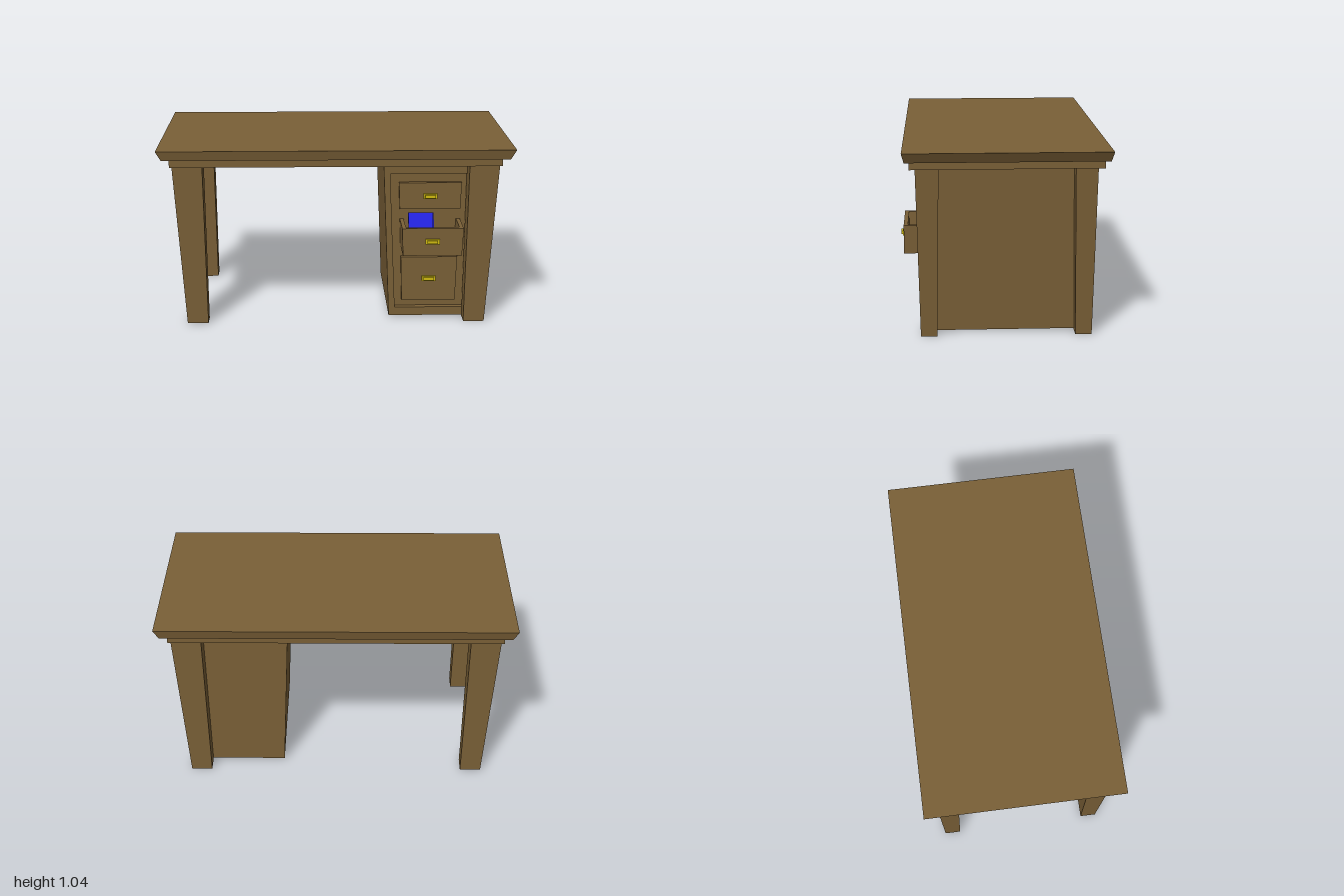
import * as THREE from 'three';

// Box whose bottom and top rectangles [x0, x1, z0, z1] differ
function taperedBox(y0, y1, bottom, top = bottom) {
  const geo = new THREE.BoxGeometry(1, 1, 1);
  const p = geo.attributes.position;
  for (let i = 0; i < p.count; i++) {
    const r = p.getY(i) > 0 ? top : bottom;
    p.setXYZ(i, p.getX(i) > 0 ? r[1] : r[0], p.getY(i) > 0 ? y1 : y0, p.getZ(i) > 0 ? r[3] : r[2]);
  }
  geo.computeVertexNormals();
  return geo;
}

// Extruded outline with one hole, both given as point lists
function frame(outer, inner, depth) {
  const toPoints = (list) => list.map(([x, y]) => new THREE.Vector2(x, y));
  const shape = new THREE.Shape(toPoints(outer));
  shape.holes.push(new THREE.Path(toPoints(inner)));
  return new THREE.ExtrudeGeometry(shape, { depth, bevelEnabled: false });
}

const rect = (x0, x1, y0, y1) => [[x0, y0], [x1, y0], [x1, y1], [x0, y1]];

export function createModel() {
  const wood = new THREE.MeshStandardMaterial({ color: 0x7a6037 });
  wood.name = 'wood';
  const brass = new THREE.MeshStandardMaterial({ color: 0xd2bc10 });
  brass.name = 'brass';
  const blue = new THREE.MeshStandardMaterial({ color: 0x2424e2 });
  blue.name = 'blueCover';

  const desk = new THREE.Group();
  desk.name = 'desk';
  const add = (name, geo, mat = wood, parent = desk) => {
    const mesh = new THREE.Mesh(geo, mat);
    mesh.name = name;
    parent.add(mesh);
    return mesh;
  };

  // Top slab flaring outwards, on a hollow apron
  add('tabletop', taperedBox(0.985, 1.04, [-0.97, 0.97, -0.55, 0.535], [-1, 1, -0.563, 0.548]));
  const apron = frame(rect(-0.93, 0.93, -0.51, 0.525), rect(-0.89, 0.89, -0.47, 0.485), 0.045);
  apron.rotateX(-Math.PI / 2);
  add('apron', apron).position.y = 0.94;

  // Four legs narrowing towards the floor
  for (const side of [-1, 1]) {
    const span = (a, b) => (side > 0 ? [a, b] : [-b, -a]);
    add('frontLeg', taperedBox(0, 0.945, [...span(0.74, 0.86), 0.37, 0.46], [...span(0.75, 0.92), 0.355, 0.48]));
    add('backLeg', taperedBox(0, 0.945, [...span(0.74, 0.86), -0.475, -0.385], [...span(0.75, 0.92), -0.49, -0.37]));
  }

  // Drawer cabinet with a raised rim around its front
  add('cabinetBody', taperedBox(0.01, 0.985, [0.31, 0.785, -0.385, 0.345], [0.27, 0.83, -0.385, 0.345]));
  add('cabinetFrontRim', frame(
    [[0.31, 0.01], [0.785, 0.01], [0.83, 0.985], [0.27, 0.985]],
    [[0.345, 0.06], [0.755, 0.06], [0.785, 0.865], [0.31, 0.865]],
    0.035,
  )).position.z = 0.345;

  // Handle: back plate and grip
  const addHandle = (y, z) => {
    const handle = new THREE.Group();
    handle.name = 'handle';
    add('handlePlate', new THREE.BoxGeometry(0.08, 0.03, 0.008), brass, handle).position.z = 0.004;
    add('handleGrip', new THREE.BoxGeometry(0.06, 0.018, 0.01), brass, handle).position.z = 0.012;
    handle.position.set(0.542, y, z);
    desk.add(handle);
  };

  // Closed drawers
  add('topDrawerFront', taperedBox(0.655, 0.81, [0.368, 0.716, 0.34, 0.37], [0.362, 0.722, 0.34, 0.37]));
  addHandle(0.73, 0.37);
  add('bottomDrawerFront', taperedBox(0.1, 0.365, [0.386, 0.698, 0.34, 0.37], [0.378, 0.706, 0.34, 0.37]));
  addHandle(0.235, 0.37);

  // Middle drawer pulled open
  add('openDrawerFront', taperedBox(0.43, 0.59, [0.376, 0.71, 0.525, 0.548], [0.37, 0.717, 0.525, 0.548]));
  add('openDrawerLeftWall', taperedBox(0.43, 0.59, [0.688, 0.71, 0.34, 0.525], [0.695, 0.717, 0.34, 0.525]));
  add('openDrawerRightWall', taperedBox(0.43, 0.59, [0.376, 0.398, 0.34, 0.525], [0.37, 0.392, 0.34, 0.525]));
  add('openDrawerFloor', taperedBox(0.43, 0.45, [0.38, 0.706, 0.34, 0.53]));
  addHandle(0.513, 0.548);

  // Two books leaning back in the open drawer
  for (let i = 0; i < 2; i++) {
    const book = add('book', new THREE.BoxGeometry(0.14, 0.19, 0.016), blue);
    book.position.set(0.485 + i * 0.008, 0.55 - i * 0.008, 0.425 - i * 0.024);
    book.rotation.x = -0.4;
  }

  return desk;
}
